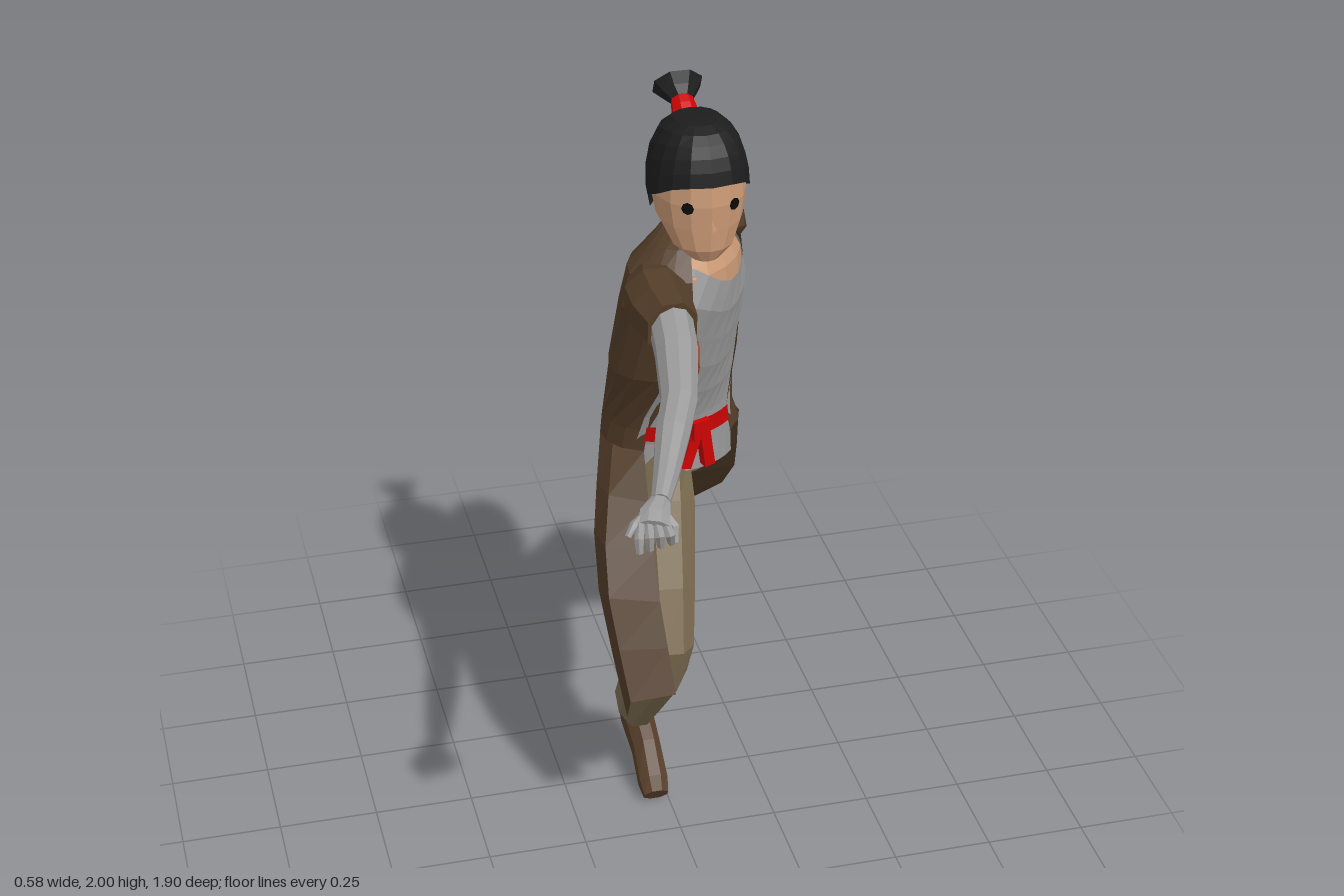
import * as THREE from 'three';

const V = (x, y, z) => new THREE.Vector3(x, y, z);
const rad = THREE.MathUtils.degToRad;
const mix = THREE.MathUtils.lerp;
const range = (n, fn) => Array.from({ length: n + 1 }, (_, i) => fn(i / n));

// Faceted surface from rows of points
function grid(rows) {
  const pos = [];
  const tri = (a, b, c) => {
    const area = b.clone().sub(a).cross(c.clone().sub(a)).length();
    if (area > 1e-9) for (const p of [a, b, c]) pos.push(p.x, p.y, p.z);
  };
  for (let i = 0; i < rows.length - 1; i++) {
    for (let j = 0; j < rows[i].length - 1; j++) {
      const a = rows[i][j], b = rows[i][j + 1], c = rows[i + 1][j + 1], d = rows[i + 1][j];
      tri(a, b, c);
      tri(a, c, d);
    }
  }
  const g = new THREE.BufferGeometry();
  g.setAttribute('position', new THREE.Float32BufferAttribute(pos, 3));
  g.computeVertexNormals();
  return g;
}

// Limb through stations [x, y, z, rx, ry]; closed and capped unless an arc is given
function limb(stations, sides = 8, arc = null) {
  const c = stations.map(s => V(s[0], s[1], s[2]));
  const th0 = arc ? arc[0] : -Math.PI / sides, len = arc ? arc[1] - arc[0] : Math.PI * 2;
  const rows = stations.map((s, i) => {
    const t = c[Math.min(i + 1, c.length - 1)].clone().sub(c[Math.max(i - 1, 0)]).normalize();
    const n1 = V(1, 0, 0).addScaledVector(t, -t.x).normalize();
    const n2 = t.clone().cross(n1);
    return range(sides, k => {
      const th = th0 + len * k;
      return c[i].clone().addScaledVector(n1, Math.cos(th) * s[3])
        .addScaledVector(n2, Math.sin(th) * (s[4] ?? s[3]));
    });
  });
  if (!arc) {
    rows.unshift(rows[0].map(() => c[0]));
    rows.push(rows[0].map(() => c[c.length - 1]));
  }
  return grid(rows);
}

// Twisting torso: y, centre x, centre z, half width, half depth, yaw, left and right coat opening
const TORSO = [
  [0.98, 0.035, -0.01, 0.175, 0.125, 12, 42, 42],
  [1.06, 0.035, -0.015, 0.18, 0.132, 13, 40, 42],
  [1.12, 0.027, -0.01, 0.17, 0.13, 16, 39, 41],
  [1.3, 0.025, 0.05, 0.177, 0.135, 33, 50, 34],
  [1.5, 0.04, 0.1, 0.192, 0.132, 42, 65, 38],
  [1.58, 0.045, 0.1, 0.175, 0.12, 42, 65, 40],
  [1.64, 0.055, 0.1, 0.11, 0.08, 40, 62, 45],
  [1.67, 0.06, 0.09, 0.065, 0.06, 40, 62, 50],
];
function section(y) {
  let i = 0;
  while (i < TORSO.length - 2 && y > TORSO[i + 1][0]) i++;
  const a = TORSO[i], b = TORSO[i + 1];
  const k = THREE.MathUtils.clamp((y - a[0]) / (b[0] - a[0]), 0, 1);
  return a.map((v, n) => v + (b[n] - v) * k);
}
function torsoPoint(y, phi, scale = 1) {
  const [, cx, cz, a, b, yaw] = section(y);
  const u = Math.sin(rad(phi)) * a * scale, f = Math.cos(rad(phi)) * b * scale;
  const c = Math.cos(rad(yaw)), s = Math.sin(rad(yaw));
  return V(cx + u * c + f * s, y, cz - u * s + f * c);
}

export function createModel() {
  const mat = (name, color, side = THREE.FrontSide) =>
    Object.assign(new THREE.MeshStandardMaterial({ color, side, flatShading: true }), { name });
  const coat = mat('coat brown', 0x533d29, THREE.DoubleSide);
  const pants = mat('trouser olive', 0x7d6d52);
  const leather = mat('shoe brown', 0x5a412c);
  const cloth = mat('shirt grey', 0x9a9a9a, THREE.DoubleSide);
  const skin = mat('skin', 0xcb9a76);
  const hair = mat('hair black', 0x1d1d1d, THREE.DoubleSide);
  const red = mat('sash red', 0xcc0404, THREE.DoubleSide);
  const patchMat = mat('patch rust', 0xab573d, THREE.DoubleSide);
  const black = mat('eye black', 0x0a0a0a, THREE.DoubleSide);

  const model = new THREE.Group();
  model.name = 'lungingFigure';
  const add = (name, geometry, material) => {
    const m = new THREE.Mesh(geometry, material);
    m.name = name;
    model.add(m);
    return m;
  };

  // Coat body, open at the front
  add('coatBody', grid(TORSO.slice(1).map(r =>
    range(13, t => torsoPoint(r[0], mix(r[6], 360 - r[7], t))))), coat);

  // Coat tails: waist angle, middle point, hem point for each column
  const tail = cols => {
    const lines = cols.map(([phi, m, h]) =>
      new THREE.CatmullRomCurve3([torsoPoint(1.06, phi), V(...m), V(...h)]).getPoints(5).reverse());
    return grid(lines[0].map((_, i) => lines.map(l => l[i])));
  };
  add('leftCoatTail', tail([
    [40, [0.12, 0.73, -0.25], [0.1, 0.43, -0.57]],
    [62, [0.25, 0.755, -0.22], [0.2, 0.44, -0.6]],
    [100, [0.285, 0.9, -0.28], [0.225, 0.53, -0.67]],
    [140, [0.21, 1.0, -0.38], [0.18, 0.65, -0.74]],
    [180, [0.14, 0.97, -0.36], [0.14, 0.62, -0.71]],
  ]), coat);
  add('rightCoatTail', tail([
    [165, [0.1, 0.87, -0.26], [0.1, 0.59, -0.44]],
    [195, [-0.03, 0.85, -0.09], [0.03, 0.54, -0.12]],
    [225, [-0.13, 0.8, 0.02], [-0.07, 0.49, 0.07]],
    [255, [-0.195, 0.8, 0.15], [-0.13, 0.35, 0.21]],
    [285, [-0.19, 0.82, 0.25], [-0.165, 0.53, 0.395]],
    [318, [-0.07, 0.8, 0.275], [-0.055, 0.545, 0.41]],
  ]), coat);

  // Shirt front with a dipped neckline, and the chest under it
  const neckline = phi => 1.61 - 0.07 * Math.max(0, Math.cos(rad(phi - 8))) ** 6;
  add('shirt', grid(range(7, t => range(9, s => {
    const mid = section(mix(0.99, 1.58, t));
    const phi = mix(-mid[7] - 10, mid[6] + 8, s);
    return torsoPoint(mix(0.99, neckline(phi), t), phi, 0.965);
  }))), cloth);
  add('chest', grid(range(5, t => range(16, s => torsoPoint(mix(1.48, 1.645, t), 360 * s, 0.92)))), skin);
  add('neck', limb([[0.055, 1.58, 0.1, 0.09, 0.075], [0.058, 1.63, 0.115, 0.06],
    [0.056, 1.73, 0.15, 0.055]], 10), skin);

  // Sash with knot and two ends
  add('sash', grid([1.09, 1.135].map(y => range(8, t => torsoPoint(y, mix(-43, 39, t), 1.015)))), red);
  const knot = add('sashKnot', new THREE.BoxGeometry(0.045, 0.05, 0.035), red);
  knot.position.set(0.075, 1.11, 0.112);
  knot.rotation.y = 0.3;
  for (const [x, tilt] of [[0.055, -0.35], [0.092, 0.15]]) {
    const end = add('sashEnd', new THREE.BoxGeometry(0.028, 0.11, 0.025), red);
    end.position.set(x, 1.06, 0.113);
    end.rotation.set(0, 0.3, tilt);
  }

  // Trousers
  add('pelvis', new THREE.SphereGeometry(1, 10, 6).scale(0.13, 0.08, 0.1).translate(0.04, 1.01, 0), pants);
  add('rightTrouserLeg', limb([[0, 1.02, 0.02, 0.07, 0.1], [-0.02, 0.9, 0.09, 0.09, 0.11],
    [-0.035, 0.72, 0.2, 0.078, 0.1], [-0.045, 0.6, 0.26, 0.07, 0.09], [-0.05, 0.53, 0.235, 0.066, 0.092],
    [-0.053, 0.4, 0.115, 0.063, 0.093], [-0.05, 0.215, -0.04, 0.052, 0.077]]), pants);
  add('leftTrouserLeg', limb([[0.08, 1.01, -0.04, 0.08, 0.08], [0.11, 0.945, -0.19, 0.085, 0.085],
    [0.14, 0.795, -0.385, 0.08, 0.09], [0.15, 0.59, -0.58, 0.066, 0.088], [0.152, 0.35, -0.845, 0.052, 0.065]]), pants);

  // Shoes with ankles
  add('rightShoe', limb([[-0.042, 0.168, -0.13, 0.034, 0.05], [-0.04, 0.15, -0.07, 0.042, 0.07],
    [-0.035, 0.1, 0.02, 0.038, 0.058], [-0.035, 0.047, 0.095, 0.04, 0.044],
    [-0.035, 0.026, 0.128, 0.034, 0.027]]), leather);
  add('rightAnkle', limb([[-0.047, 0.28, -0.01, 0.04, 0.055], [-0.042, 0.165, -0.085, 0.038, 0.06]]), leather);
  add('leftShoe', limb([[0.14, 0.308, -0.935, 0.033, 0.045], [0.13, 0.295, -0.87, 0.042, 0.067],
    [0.1, 0.255, -0.78, 0.04, 0.054], [0.07, 0.21, -0.705, 0.04, 0.044],
    [0.058, 0.198, -0.67, 0.032, 0.03]]), leather);
  add('leftAnkle', limb([[0.15, 0.4, -0.8, 0.04, 0.045], [0.137, 0.3, -0.89, 0.036, 0.055]]), leather);

  // Bent left arm
  add('leftSleeve', limb([[0.1, 1.62, 0.03, 0.05], [0.15, 1.605, -0.03, 0.075], [0.165, 1.57, -0.09, 0.08],
    [0.16, 1.47, -0.18, 0.072], [0.145, 1.37, -0.262, 0.064], [0.14, 1.29, -0.28, 0.058],
    [0.125, 1.13, -0.275, 0.045]]), coat);
  add('leftHand', limb([[0.125, 1.16, -0.275, 0.028, 0.03], [0.12, 1.1, -0.27, 0.024, 0.042],
    [0.115, 1.06, -0.265, 0.022, 0.042]], 8), skin);
  for (let i = 0; i < 4; i++) {
    const z = -0.298 + i * 0.022;
    add('leftFinger', limb([[0.115, 1.07, z, 0.011], [0.105, 1.04, z, 0.011], [0.085, 1.02, z + 0.005, 0.008]], 5), skin);
  }
  add('leftThumb', limb([[0.115, 1.11, -0.24, 0.012], [0.1, 1.07, -0.22, 0.011], [0.09, 1.045, -0.215, 0.008]], 5), skin);

  // Reaching right arm
  add('rightSleeve', limb([[-0.05, 1.55, 0.13, 0.05], [-0.062, 1.55, 0.23, 0.078], [-0.064, 1.545, 0.3, 0.076],
    [-0.058, 1.54, 0.375, 0.064, 0.07]]), coat);
  const arm = [[-0.055, 1.545, 0.34, 0.052, 0.06], [-0.068, 1.52, 0.45, 0.05, 0.055],
    [-0.1, 1.48, 0.6, 0.042, 0.046], [-0.135, 1.45, 0.68, 0.04, 0.046],
    [-0.175, 1.41, 0.78, 0.03, 0.036], [-0.205, 1.387, 0.85, 0.022, 0.026]];
  add('rightArm', limb(arm, 10), cloth);
  add('armPatch', limb([[-0.065, 1.525, 0.413, 0.055, 0.061], [-0.068, 1.52, 0.45, 0.054, 0.059],
    [-0.079, 1.507, 0.5, 0.051, 0.056]], 3, [-0.55, 0.5]), patchMat);
  add('rightHand', limb([[-0.203, 1.388, 0.845, 0.022, 0.022], [-0.225, 1.375, 0.88, 0.036, 0.024],
    [-0.235, 1.365, 0.91, 0.036, 0.02]], 8), cloth);
  for (let i = 0; i < 4; i++) {
    const x = -0.262 + i * 0.018, r = 0.011;
    add('rightFinger', limb([[x, 1.367, 0.9, r], [x - 0.012 + i * 0.005, 1.355, 0.94, r],
      [x - 0.012 + i * 0.007, 1.325, 0.945 - i * 0.008, 0.008]], 5), cloth);
  }
  add('rightLittleFinger', limb([[-0.25, 1.375, 0.88, 0.011], [-0.275, 1.37, 0.9, 0.01], [-0.293, 1.35, 0.915, 0.007]], 5), cloth);
  add('rightThumb', limb([[-0.205, 1.37, 0.87, 0.013], [-0.185, 1.345, 0.89, 0.012], [-0.188, 1.315, 0.905, 0.009]], 5), cloth);

  // Head: y, centre z, half width, half depth
  const face = [[1.64, 0.225, 0, 0], [1.642, 0.225, 0.035, 0.04], [1.675, 0.205, 0.074, 0.078],
    [1.73, 0.178, 0.1, 0.11], [1.79, 0.163, 0.11, 0.13], [1.86, 0.16, 0.104, 0.126], [1.9, 0.155, 0.07, 0.09]];
  add('head', grid(face.map(([y, cz, a, b]) => range(14, t =>
    V(0.055 + a * Math.sin(t * 2 * Math.PI), y, cz + b * Math.cos(t * 2 * Math.PI))))), skin);
  add('nose', new THREE.ConeGeometry(0.014, 0.05, 4).translate(0.055, 1.755, 0.284), skin);
  for (const s of [-1, 1]) {
    const eye = add('eye', new THREE.CircleGeometry(0.015, 8), black);
    eye.position.set(0.055 + s * 0.055, 1.79, 0.281);
    eye.rotation.y = s * 0.5;
  }

  // Full hair cap whose hem drops from the brow to the nape
  const hem = t => {
    const c = Math.cos(t * 2 * Math.PI);
    return c > 0 ? mix(1.775, 1.84, Math.min(1, c * 1.2)) : mix(1.775, 1.715, Math.min(1, -c * 2.5));
  };
  add('hair', grid(range(6, k => range(16, t => {
    const h = mix(Math.asin((hem(t) - 1.8) / 0.16), Math.PI / 2, k);
    const r = Math.max(0, Math.cos(h)) ** 0.65;
    const s = Math.sin(t * 2 * Math.PI), c = Math.cos(t * 2 * Math.PI);
    return V(0.055 + 0.116 * r * Math.sign(s) * Math.abs(s) ** 0.85, 1.8 + 0.16 * Math.sin(h),
      0.157 + 0.138 * r * Math.sign(c) * Math.abs(c) ** 0.85);
  }))), hair);
  add('hairTie', limb([[0.055, 1.895, 0.07, 0.036, 0.03], [0.055, 1.925, 0.03, 0.03, 0.026],
    [0.055, 1.94, 0.005, 0.026, 0.022]], 8), red);
  add('topknot', limb([[0.055, 1.935, 0.012, 0.028, 0.024], [0.055, 1.945, -0.008, 0.045, 0.035],
    [0.055, 1.957, -0.03, 0.062, 0.054]], 8), hair);

  return model;
}
